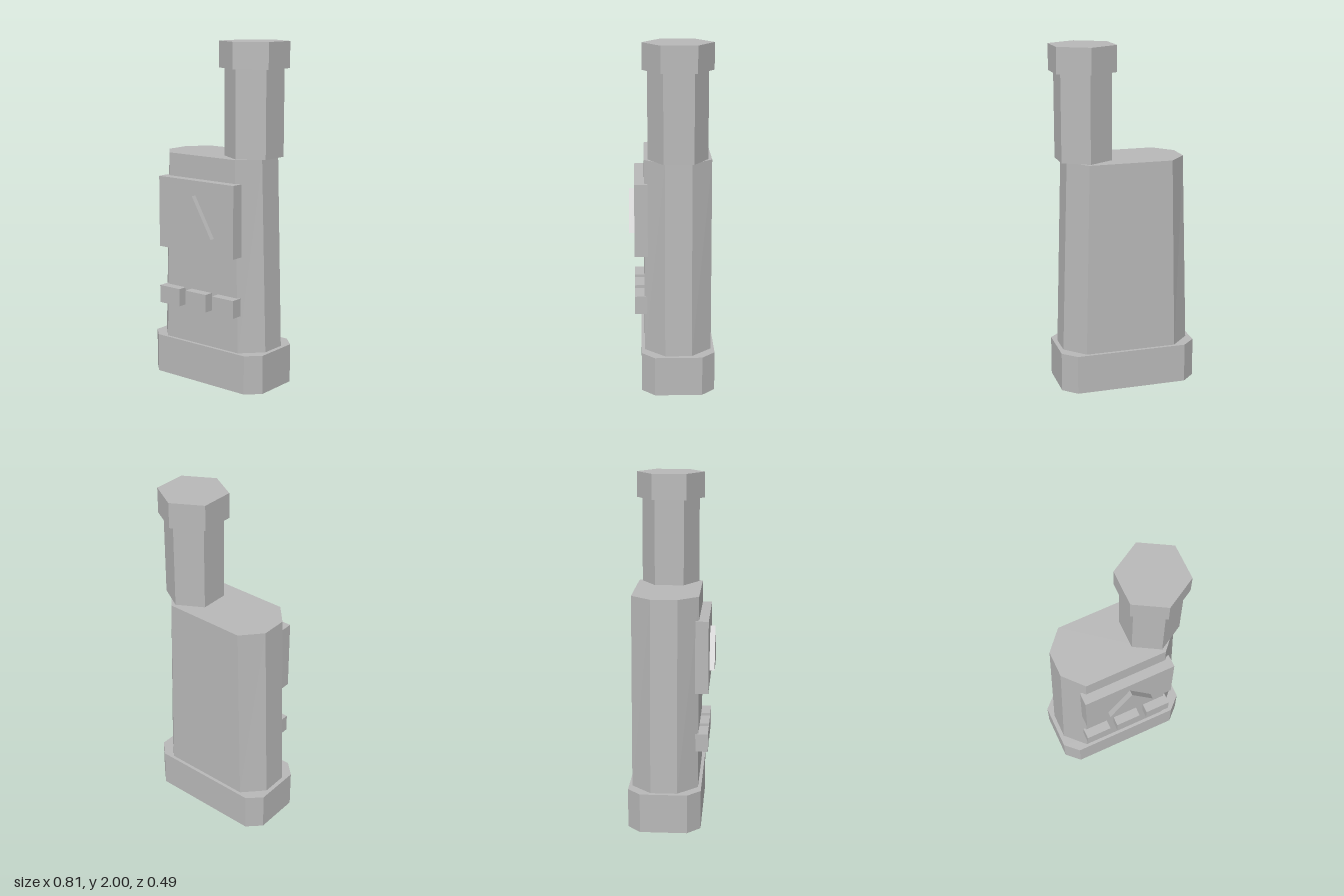
import * as THREE from 'three';

const grey = new THREE.MeshStandardMaterial({ color: 0xb8b8b8, flatShading: true });
grey.name = 'plain grey';

const CENTRE_Z = -0.034;

// Chamfered rectangle: half width, half depth, and where the chamfers begin
function octagon(w, d, cw, cd, y) {
  return [[cw, d], [w, cd], [w, -cd], [cw, -d], [-cw, -d], [-w, -cd], [-w, cd], [-cw, d]]
    .map(([x, z]) => [x, y, z + CENTRE_Z]);
}

// Closed solid between two matching rings
function loft(bottom, top) {
  const n = bottom.length;
  const index = [];
  for (let i = 0; i < n; i++) {
    const j = (i + 1) % n;
    index.push(i, j, n + j, i, n + j, n + i);
  }
  for (let i = 1; i < n - 1; i++) {
    index.push(0, i + 1, i, n, n + i, n + i + 1);
  }
  const geometry = new THREE.BufferGeometry();
  geometry.setAttribute('position', new THREE.Float32BufferAttribute([...bottom, ...top].flat(), 3));
  geometry.setIndex(index);
  const flat = geometry.toNonIndexed();
  flat.computeVertexNormals();
  return flat;
}

export function createModel() {
  const group = new THREE.Group();

  function add(name, geometry, x = 0, y = 0, z = 0) {
    const mesh = new THREE.Mesh(geometry, grey);
    mesh.name = name;
    mesh.position.set(x, y, z);
    group.add(mesh);
  }

  // Foot and tapering body
  add('base', loft(octagon(0.405, 0.21, 0.327, 0.135, 0), octagon(0.405, 0.21, 0.327, 0.135, 0.23)));
  add('body', loft(octagon(0.38, 0.191, 0.268, 0.076, 0.23), octagon(0.346, 0.191, 0.243, 0.076, 1.35)));

  // Hexagonal antenna with a wider cap
  add('antenna', new THREE.CylinderGeometry(0.17, 0.17, 0.5, 6), 0.23, 1.6, CENTRE_Z);
  add('antennaCap', new THREE.CylinderGeometry(0.2, 0.2, 0.15, 6), 0.23, 1.925, CENTRE_Z);

  // Front panel with a raised triangle
  add('panel', new THREE.BoxGeometry(0.552, 0.42, 0.075), 0, 1.005, 0.175);
  const triangle = new THREE.Shape();
  triangle.moveTo(-0.137, 0.895);
  triangle.lineTo(0.137, 0.895);
  triangle.lineTo(0, 1.13);
  triangle.closePath();
  add('panelTriangle', new THREE.ExtrudeGeometry(triangle, { depth: 0.033, bevelEnabled: false }), 0, 0, 0.21);

  // Row of buttons
  for (const x of [-0.201, -0.001, 0.199]) {
    add('button', new THREE.BoxGeometry(0.153, 0.105, 0.075), x, 0.503, 0.175);
  }

  return group;
}
